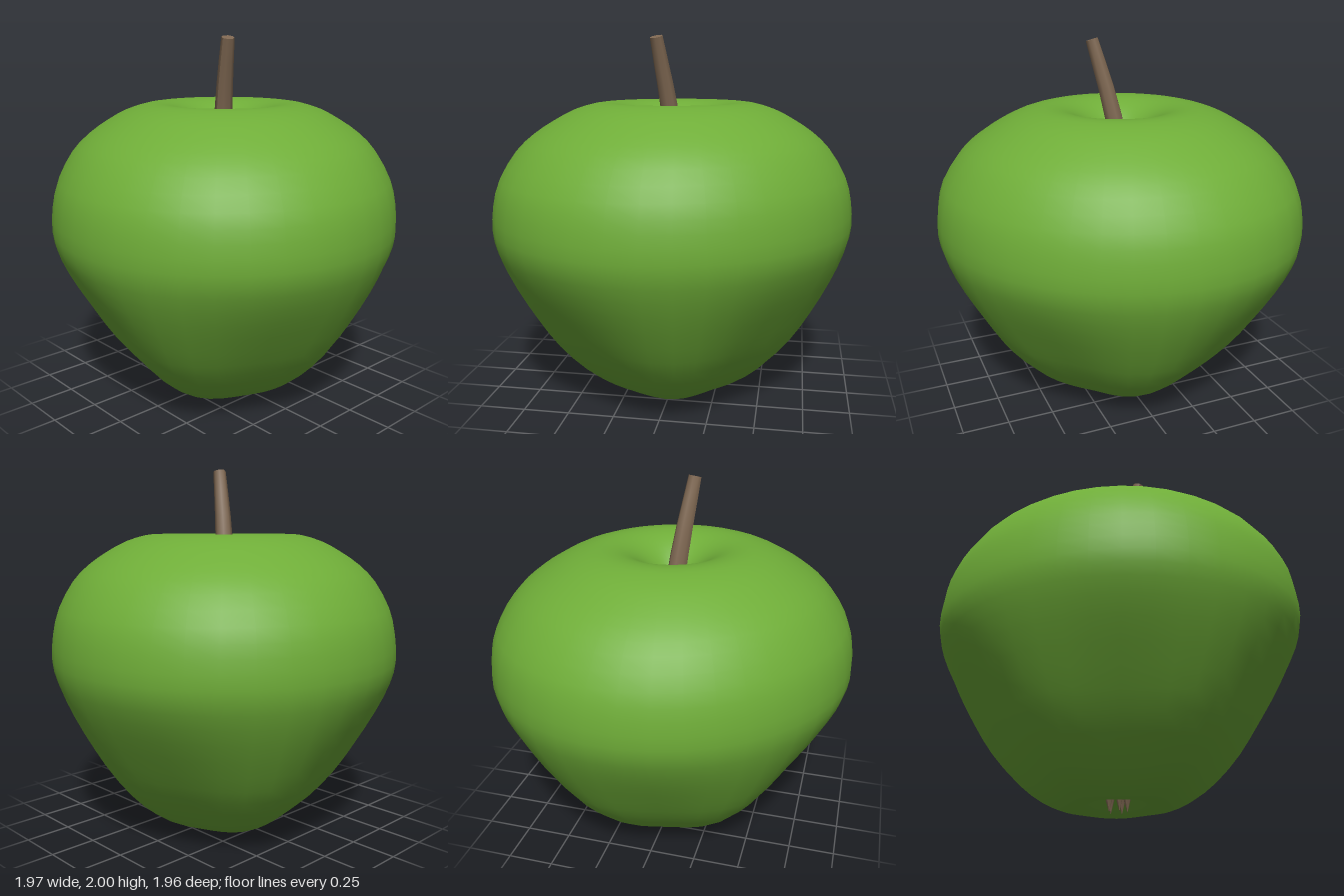
import * as THREE from 'three';
import { mergeVertices } from 'three/addons/utils/BufferGeometryUtils.js';

const green = new THREE.MeshStandardMaterial({ name: 'apple green', color: 0x6fad38 });
const brown = new THREE.MeshStandardMaterial({ name: 'stem brown', color: 0x7f6852 });

// Body: a lathed profile with dimples at both ends, pressed into a slight oval
function makeBody() {
  const points = [
    [0, 0.085], [0.05, 0.08], [0.1, 0.06], [0.16, 0.038], [0.22, 0.026], [0.28, 0.027],
    [0.39, 0.08], [0.515, 0.18], [0.655, 0.34], [0.768, 0.51], [0.88, 0.7], [0.955, 0.86],
    [0.982, 0.98], [0.973, 1.12], [0.938, 1.25], [0.853, 1.39], [0.76, 1.48], [0.655, 1.55], [0.55, 1.605],
    [0.44, 1.638], [0.36, 1.643], [0.28, 1.628], [0.2, 1.587], [0.13, 1.525], [0.07, 1.45], [0, 1.4],
  ].map(([r, y]) => new THREE.Vector2(r, y));
  const profile = new THREE.SplineCurve(points).getPoints(50);
  profile.forEach((v) => { v.x = Math.max(0, v.x); });
  let geo = new THREE.LatheGeometry(profile, 40);
  const p = geo.attributes.position;
  for (let i = 0; i < p.count; i++) {
    const a = Math.atan2(p.getZ(i), p.getX(i));
    // five soft lobes, strongest at the base and gone at the widest level
    const low = THREE.MathUtils.smoothstep(1 - p.getY(i), 0, 0.8);
    // the oval softens toward the shoulder
    const oval = 0.035 - 0.015 * THREE.MathUtils.smoothstep(p.getY(i), 1.2, 1.64);
    const k = 1 + oval * Math.sin(2 * a) + 0.004 * Math.cos(2 * a)
      + 0.045 * low * Math.cos(5 * (a - Math.PI * 0.75));
    p.setX(i, p.getX(i) * k);
    p.setZ(i, p.getZ(i) * k);
  }
  geo.deleteAttribute('uv');
  geo.deleteAttribute('normal');
  geo = mergeVertices(geo, 1e-4);
  geo.computeVertexNormals();
  return geo;
}

// Stem: tapering eight-sided rod that leans and bends gently
function makeStem() {
  const curve = new THREE.CatmullRomCurve3([
    new THREE.Vector3(-0.015, 1.38, 0), new THREE.Vector3(0.03, 1.645, 0.03),
    new THREE.Vector3(0.075, 1.83, 0.057), new THREE.Vector3(0.117, 1.99, 0.08),
  ]);
  const up = new THREE.Vector3(0, 1, 0);
  const geo = new THREE.CylinderGeometry(0.035, 0.054, 1, 8, 4);
  const p = geo.attributes.position;
  const v = new THREE.Vector3();
  const q = new THREE.Quaternion();
  for (let i = 0; i < p.count; i++) {
    const t = p.getY(i) + 0.5;
    q.setFromUnitVectors(up, curve.getTangent(t));
    v.set(p.getX(i), 0, p.getZ(i)).applyQuaternion(q).add(curve.getPoint(t));
    p.setXYZ(i, v.x, v.y, v.z);
  }
  geo.computeVertexNormals();
  return geo;
}

export function createModel() {
  const model = new THREE.Group();
  const add = (parent, name, geo, mat) => {
    const mesh = new THREE.Mesh(geo, mat);
    mesh.name = name;
    parent.add(mesh);
    return mesh;
  };
  add(model, 'body', makeBody(), green);
  add(model, 'stem', makeStem(), brown);

  // Dried blossom: ring of small spikes pointing down from the base dimple
  const calyx = new THREE.Group();
  calyx.name = 'calyx';
  const spikeShape = new THREE.ConeGeometry(0.024, 0.085, 5).rotateX(Math.PI);
  for (let i = 0; i < 5; i++) {
    const a = Math.PI / 10 + (i / 5) * Math.PI * 2;
    const spike = add(calyx, 'calyxSpike', spikeShape, brown);
    spike.position.set(Math.cos(a) * 0.05, 0.0425, Math.sin(a) * 0.05);
  }
  model.add(calyx);
  return model;
}
